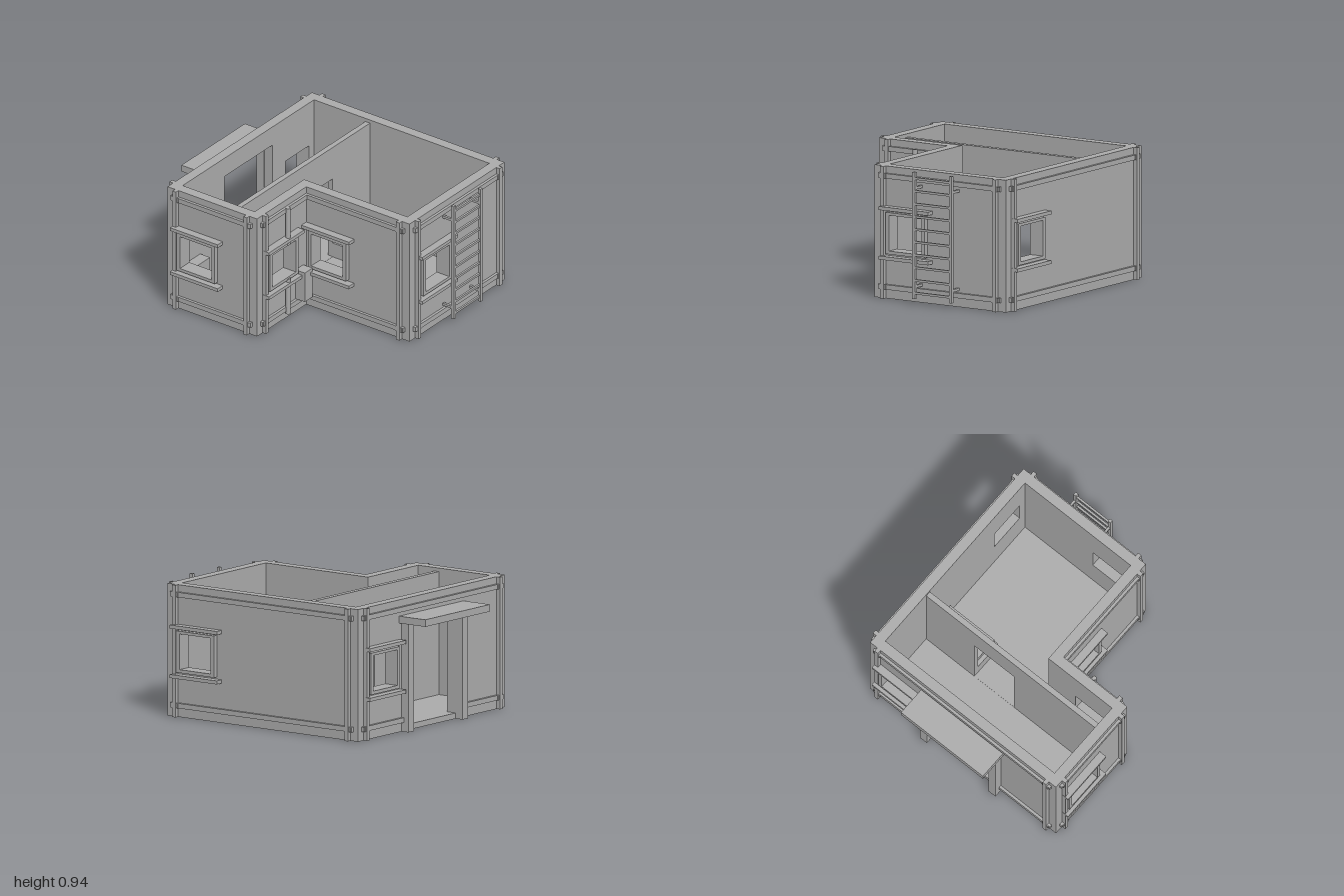
import * as THREE from 'three';

const H = 0.935, T = 0.075, FLOOR = 0.04;
const grey = new THREE.MeshStandardMaterial({ color: 0xaaaaaa });
grey.name = 'plain grey';

function add(parent, name, geometry) {
  const mesh = new THREE.Mesh(geometry, grey);
  mesh.name = name;
  parent.add(mesh);
  return mesh;
}

// Box given by its lower and upper corner
function box(parent, name, x0, y0, z0, x1, y1, z1) {
  const mesh = add(parent, name, new THREE.BoxGeometry(x1 - x0, y1 - y0, z1 - z0));
  mesh.position.set((x0 + x1) / 2, (y0 + y1) / 2, (z0 + z1) / 2);
  return mesh;
}

function rectangle(Type, x0, y0, x1, y1) {
  return new Type().setFromPoints([[x0, y0], [x1, y0], [x1, y1], [x0, y1], [x0, y0]]
    .map(([x, y]) => new THREE.Vector2(x, y)));
}

// Upright panel with rectangular openings, from z = z0 to z = z0 + depth
function panel(parent, name, rect, holes, z0, depth) {
  const shape = rectangle(THREE.Shape, ...rect);
  shape.holes = holes.map(h => rectangle(THREE.Path, ...h));
  const geometry = new THREE.ExtrudeGeometry(shape, { depth, bevelEnabled: false });
  geometry.translate(0, 0, z0);
  return add(parent, name, geometry);
}

// Frame, lintel and sill around a window centred on u
function windowTrim(wall, u) {
  panel(wall, 'windowFrame', [u - 0.165, 0.32, u + 0.165, 0.615],
    [[u - 0.137, 0.343, u + 0.137, 0.595]], -T, T + 0.035);
  for (const y of [0.28, 0.63]) {
    box(wall, 'windowLedge', u - 0.207, y, -0.01, u + 0.207, y + 0.025, 0.057);
  }
}

// Wall in its own frame: u along, outer face at z = 0
function buildWall(house, { name, x, z, turn, length, win, door, ends = [-1, 1], inset = 0 }) {
  const wall = new THREE.Group();
  wall.name = name;
  wall.position.set(x, 0, z);
  wall.rotation.y = turn;
  house.add(wall);
  const half = length / 2;
  const holes = [];
  if (win !== undefined) holes.push([win - 0.15, 0.33, win + 0.15, 0.605]);
  if (door) holes.push(door);
  panel(wall, 'wallPanel', [-half, 0, half, H], holes, -T, T);
  if (win !== undefined) windowTrim(wall, win);

  // Corner pilasters
  for (const e of ends) {
    const a = e * (half - 0.065), b = e * (half - 0.095);
    box(wall, 'pilaster', Math.min(a, b), 0, -0.01, Math.max(a, b), H, 0.03);
  }
  // Horizontal bands, the lower one broken by a doorway
  const left = ends.includes(-1) ? -half + 0.04 : -half + inset;
  const right = ends.includes(1) ? half - 0.04 : half - inset;
  box(wall, 'upperBand', left, 0.85, -0.01, right, 0.885, 0.02);
  const spans = door ? [[left, door[0]], [door[2], right]] : [[left, right]];
  for (const [a, b] of spans) box(wall, 'lowerBand', a, 0.065, -0.01, b, 0.1, 0.02);

  // Nubs clasping each pilaster at the bands
  for (const e of ends) {
    for (const y of [0.85, 0.065]) {
      const c = e * (half - 0.08);
      box(wall, 'bandClasp', c - 0.028, y, -0.01, c + 0.028, y + 0.035, 0.024);
    }
  }
}

function buildLadder(house) {
  const ladder = new THREE.Group();
  ladder.name = 'ladder';
  house.add(ladder);
  for (const x of [0.13, 0.44]) {
    box(ladder, 'ladderRail', x - 0.012, 0.04, 0.976, x + 0.012, H, 1.0);
    for (const y of [0.125, 0.82]) {
      box(ladder, 'ladderBracket', x - 0.009, y - 0.009, 0.89, x + 0.009, y + 0.009, 0.98);
    }
  }
  for (let i = 0; i < 10; i++) {
    const y = 0.08 + i * 0.09;
    box(ladder, 'ladderRung', 0.13, y - 0.008, 0.98, 0.44, y + 0.008, 0.996);
  }
}

export function createModel() {
  const house = new THREE.Group();
  house.name = 'house';

  // L-shaped floor slab
  const plan = new THREE.Shape([[-0.835, 0.765], [-0.835, 0], [-0.26, 0], [-0.26, -0.895],
    [0.835, -0.895], [0.835, 0.765]].map(([x, y]) => new THREE.Vector2(x, y)));
  const slab = new THREE.ExtrudeGeometry(plan, { depth: FLOOR, bevelEnabled: false });
  slab.rotateX(-Math.PI / 2);
  add(house, 'floor', slab);

  // Outer walls
  const q = Math.PI / 2;
  [
    { name: 'frontWall', x: 0.2875, z: 0.9, turn: 0, length: 1.105, win: -0.2725 },
    { name: 'longSideWall', x: 0.84, z: 0.065, turn: q, length: 1.67, win: -0.565 },
    { name: 'backWall', x: 0, z: -0.77, turn: 2 * q, length: 1.68, win: -0.57,
      door: [-0.28, FLOOR, 0.28, 0.79] },
    { name: 'shortSideWall', x: -0.84, z: -0.3825, turn: -q, length: 0.775, win: -0.1175 },
    { name: 'recessFrontWall', x: -0.515, z: 0.005, turn: 0, length: 0.65, win: -0.055,
      ends: [-1], inset: T },
    { name: 'recessSideWall', x: -0.265, z: 0.415, turn: -q, length: 0.97, win: -0.205,
      ends: [1], inset: T },
  ].forEach(w => buildWall(house, w));

  // Inner partition with a doorway
  const partition = panel(house, 'partition', [-0.77, FLOOR, 0.77, 0.91],
    [[-0.03, FLOOR + 0.002, 0.33, 0.66]], -0.25, 0.04);
  partition.castShadow = false;

  // Back entrance: canopy on two posts
  box(house, 'canopy', -0.37, 0.77, -1.0, 0.37, 0.82, -0.765);
  for (const s of [-1, 1]) {
    box(house, 'entrancePost', s * 0.31 - 0.032, 0, -0.83, s * 0.31 + 0.032, 0.77, -0.765);
  }

  buildLadder(house);

  // Drainpipe, interrupted by the window, and a wall box beside it
  for (const [a, b] of [[0.05, 0.33], [0.6, 0.89]]) {
    const pipe = add(house, 'drainpipe', new THREE.CylinderGeometry(0.017, 0.017, b - a, 10));
    pipe.position.set(-0.517, (a + b) / 2, 0.035);
  }
  box(house, 'utilityBox', -0.39, 0.1, 0, -0.3, 0.33, 0.085);

  // Bed behind the partition
  box(house, 'bedBase', 0.33, FLOOR, -0.21, 0.76, 0.15, 0.01);
  box(house, 'mattress', 0.36, 0.15, -0.205, 0.76, 0.19, 0.005);
  box(house, 'pillow', 0.63, 0.19, -0.185, 0.735, 0.215, -0.015);

  // Cabinet in the back corner
  box(house, 'cabinet', -0.77, FLOOR, -0.7, -0.56, 0.3, -0.61);

  return house;
}
